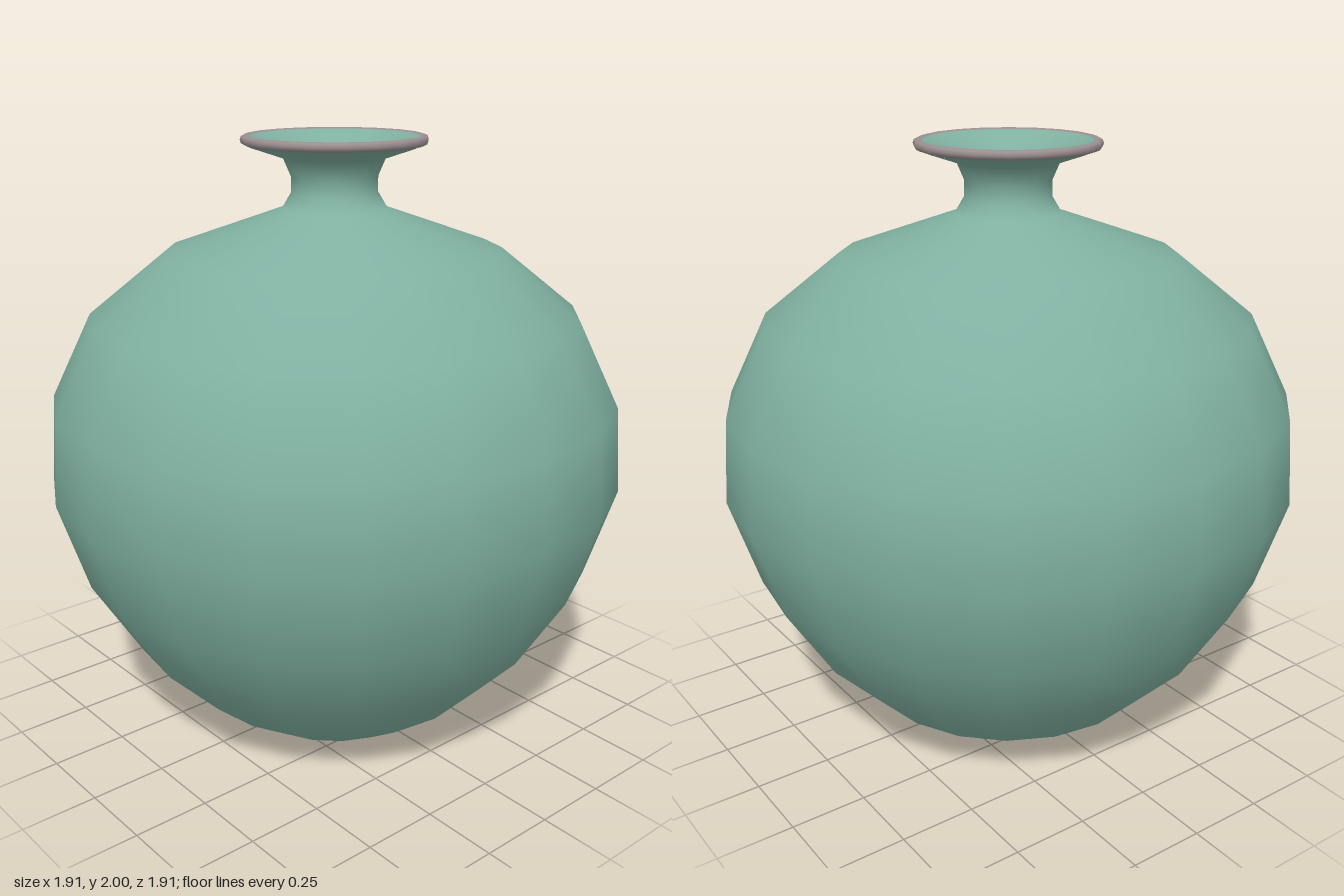
import * as THREE from 'three';

const SEGMENTS = 20;

export function createModel() {
  const glaze = new THREE.MeshStandardMaterial({ color: 0x7fb0a0 });
  glaze.name = 'celadon glaze';
  const rimGlaze = new THREE.MeshStandardMaterial({ color: 0x9c8f90 });
  rimGlaze.name = 'grey mauve rim';

  const vase = new THREE.Group();
  vase.name = 'vase';

  // Turns a profile of [radius, height] pairs around the y axis
  function turn(name, profile, material) {
    const points = profile.map(([r, y]) => new THREE.Vector2(r, y));
    const mesh = new THREE.Mesh(new THREE.LatheGeometry(points, SEGMENTS), material);
    mesh.name = name;
    vase.add(mesh);
  }

  // Flat foot
  turn('foot', [[0, 0], [0.325, 0]], glaze);

  // Belly, shoulder, neck and the underside of the lip
  turn('body', [
    [0.325, 0], [0.515, 0.13], [0.7, 0.32], [0.86, 0.58], [0.955, 0.88],
    [0.935, 1.16], [0.8, 1.435], [0.55, 1.635], [0.17, 1.77],
    [0.14, 1.82], [0.14, 1.87], [0.165, 1.928], [0.29, 1.97],
  ], glaze);

  // Rounded rim band
  turn('rim', [
    [0.285, 1.969], [0.296, 1.974], [0.3, 1.985], [0.296, 1.996],
    [0.285, 2], [0.272, 1.996],
  ], rimGlaze);

  // Inside of the mouth and throat, then the hollow belly
  turn('mouth', [
    [0.272, 1.996], [0.19, 1.966], [0.15, 1.93], [0.128, 1.88],
    [0.125, 1.82], [0.14, 1.755],
  ], glaze);
  turn('innerWall', [
    [0.14, 1.755], [0.53, 1.605], [0.77, 1.41], [0.9, 1.15], [0.92, 0.88],
    [0.83, 0.59], [0.67, 0.34], [0.49, 0.16], [0.33, 0.04],
  ], glaze);
  turn('innerFloor', [[0.33, 0.04], [0, 0.04]], glaze);

  return vase;
}
